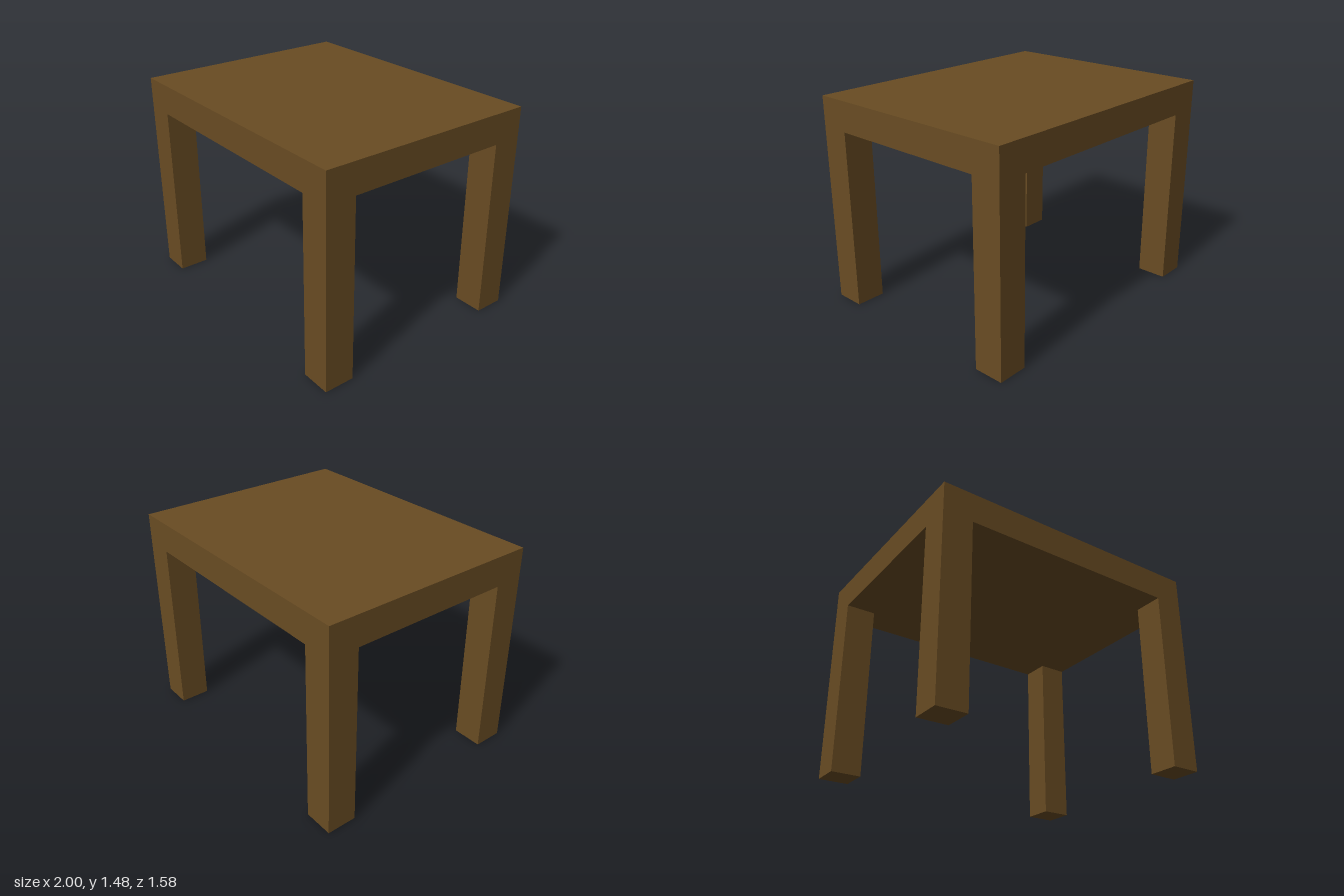
import * as THREE from 'three';

export function createModel() {
  const width = 2, depth = 1.58, height = 1.475, thick = 0.21;
  const legHeight = height - thick;
  const wood = new THREE.MeshStandardMaterial({ color: 0x694c23 });
  wood.name = 'brown wood';

  const table = new THREE.Group();
  table.name = 'table';

  const addBox = (name, w, h, d, x, y, z) => {
    const mesh = new THREE.Mesh(new THREE.BoxGeometry(w, h, d), wood);
    mesh.name = name;
    mesh.position.set(x, y, z);
    table.add(mesh);
  };

  // Thick slab top
  addBox('tableTop', width, thick, depth, 0, legHeight + thick / 2, 0);

  // Square legs flush with the four corners
  for (const [sideName, sx] of [['Left', 1], ['Right', -1]]) {
    for (const [endName, sz] of [['front', 1], ['back', -1]]) {
      addBox(endName + sideName + 'Leg', thick, legHeight, thick,
        sx * (width - thick) / 2, legHeight / 2, sz * (depth - thick) / 2);
    }
  }
  return table;
}
